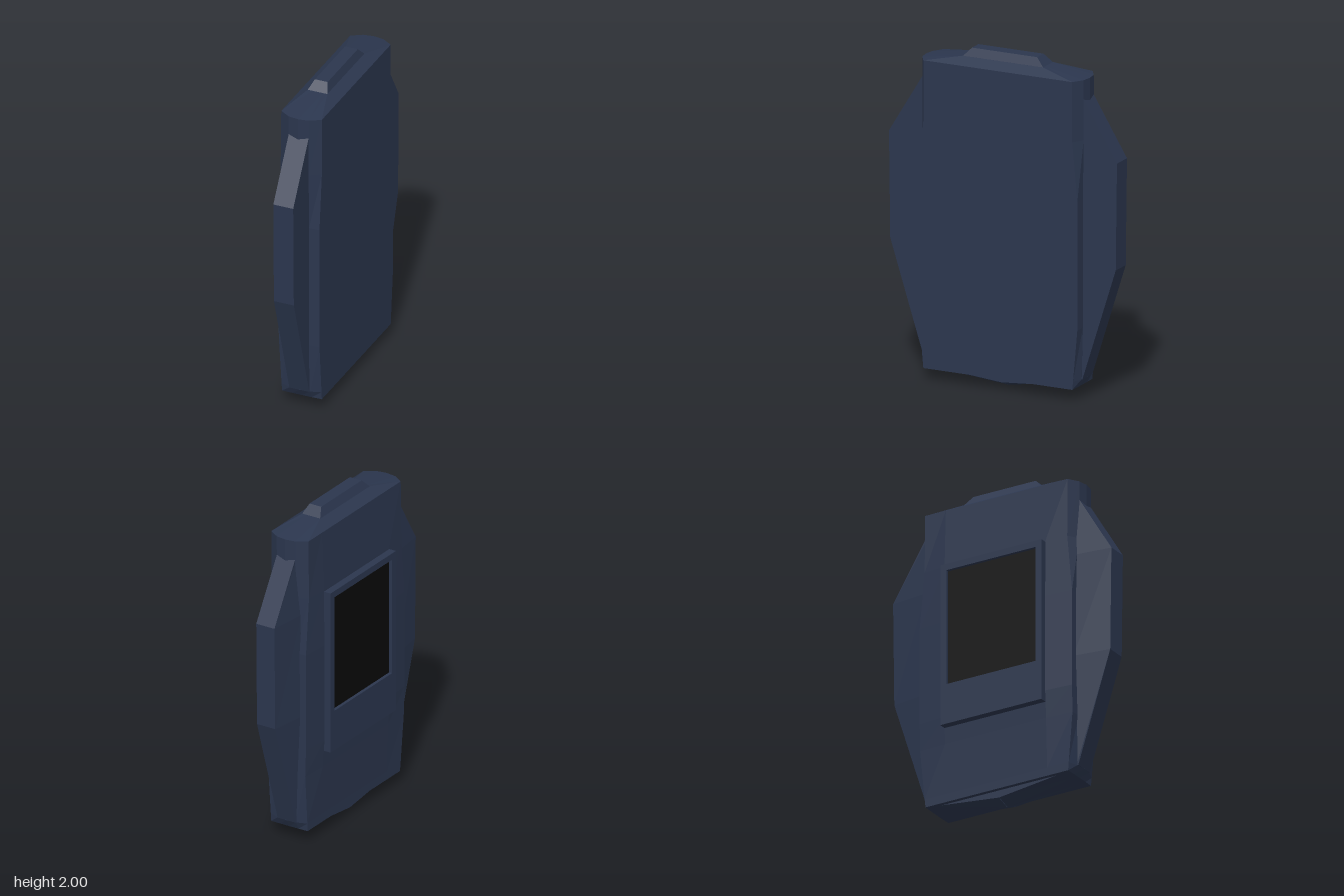
import * as THREE from 'three';

const shell = new THREE.MeshStandardMaterial({ color: 0x2b364e, flatShading: true });
const black = new THREE.MeshStandardMaterial({ color: 0x0a0a0a });

// Skin closed rings (listed bottom to top, counter-clockwise from above) and cap both ends.
function loft(rings) {
  const pos = [];
  const tri = (a, b, c) => pos.push(...a, ...b, ...c);
  const middle = (ring) => [0, 1, 2].map((k) => ring.reduce((s, p) => s + p[k], 0) / ring.length);
  const n = rings[0].length;
  for (let j = 0; j < rings.length - 1; j++) {
    const lo = rings[j], hi = rings[j + 1];
    for (let i = 0; i < n; i++) {
      const k = (i + 1) % n;
      tri(lo[i], lo[k], hi[k]);
      tri(lo[i], hi[k], hi[i]);
    }
  }
  const first = rings[0], last = rings[rings.length - 1];
  const cLow = middle(first), cHigh = middle(last);
  for (let i = 0; i < n; i++) {
    const k = (i + 1) % n;
    tri(cLow, first[k], first[i]);
    tri(cHigh, last[i], last[k]);
  }
  const geo = new THREE.BufferGeometry();
  geo.setAttribute('position', new THREE.Float32BufferAttribute(pos, 3));
  geo.computeVertexNormals();
  return geo;
}

// Slab section: flat broad sides, ends bowed from z = edge to z = crown.
function slabRing(y, edge, crown, xMin, xMax, bulge = 0, flat = 0.34) {
  const bow = [0, 0.8, 1, 0.8, 0];
  const front = bow.map((b, i) => [xMin + ((xMax - xMin) * i) / 4, y, edge + b * (crown - edge)]);
  const back = front.map(([x, , z]) => [x, y, -z]).reverse();
  return [...front, ...back, [xMin - bulge, y, -flat], [xMin - bulge, y, flat]];
}

export function createModel() {
  const group = new THREE.Group();
  const add = (name, geo, mat = shell) => {
    const mesh = new THREE.Mesh(geo, mat);
    mesh.name = name;
    group.add(mesh);
    return mesh;
  };

  // Body slab
  add('body', loft([
    slabRing(0.07, 0.48, 0.482, -0.095, 0.155),
    slabRing(0.12, 0.485, 0.513, -0.096, 0.155),
    slabRing(0.43, 0.513, 0.516, -0.1, 0.155, 0.008),
    slabRing(0.6, 0.513, 0.516, -0.105, 0.155, 0.013),
    slabRing(1.2, 0.513, 0.516, -0.105, 0.155, 0.013),
    slabRing(1.55, 0.48, 0.53, -0.104, 0.155, 0.01),
    slabRing(1.91, 0.48, 0.53, -0.1, 0.155),
    slabRing(1.95, 0.26, 0.26, -0.035, 0.09, 0, 0.26),
  ]));

  // Bevelled button on the sloping top
  add('topButton', loft([
    slabRing(1.948, 0.26, 0.26, -0.035, 0.09, 0, 0.26),
    slabRing(2.0, 0.21, 0.21, -0.01, 0.07, 0, 0.21),
  ]));

  // Side grips, mirrored front and back: [y, outer z, inner left x]
  const stations = [[0.12, 0.512, -0.035], [0.8, 0.727, -0.068], [1.44, 0.735, -0.062], [1.8, 0.516, -0.035]];
  for (const s of [1, -1]) {
    const rings = stations.map(([y, z, xi]) => {
      const ring = [[-0.035, y, s * z], [0.09, y, s * z], [0.09, y, s * 0.5], [xi, y, s * 0.5]];
      return s > 0 ? ring : ring.reverse();
    });
    add(s > 0 ? 'frontGrip' : 'backGrip', loft(rings));
  }

  // Shallow keel under the body
  const keelRing = (yl, ym, yr, w) => [
    [[-0.07, yl, w], [0.02, ym, w], [0.115, yr, w]],
    [[0.115, yr, -w], [0.02, ym, -w], [-0.07, yl, -w]],
  ].flat();
  add('bottomKeel', loft([keelRing(0.025, 0, 0.04, 0.002), keelRing(0.075, 0.075, 0.075, 0.43)]));

  // Display frame with a window, on the left-hand broad side (-x)
  const rect = (path, z, y0, y1) => path.moveTo(-z, y0).lineTo(z, y0).lineTo(z, y1).lineTo(-z, y1).closePath();
  const outline = rect(new THREE.Shape(), 0.34, 0.53, 1.54);
  outline.holes.push(rect(new THREE.Path(), 0.3, 0.78, 1.5));
  const frame = add('displayFrame', new THREE.ExtrudeGeometry(outline, { depth: 0.065, bevelEnabled: false }));
  frame.rotation.y = -Math.PI / 2;
  frame.position.x = -0.095;

  // Recessed screen
  const screen = add('screen', new THREE.BoxGeometry(0.04, 0.74, 0.62), black);
  screen.position.set(-0.12, 1.14, 0);

  return group;
}
